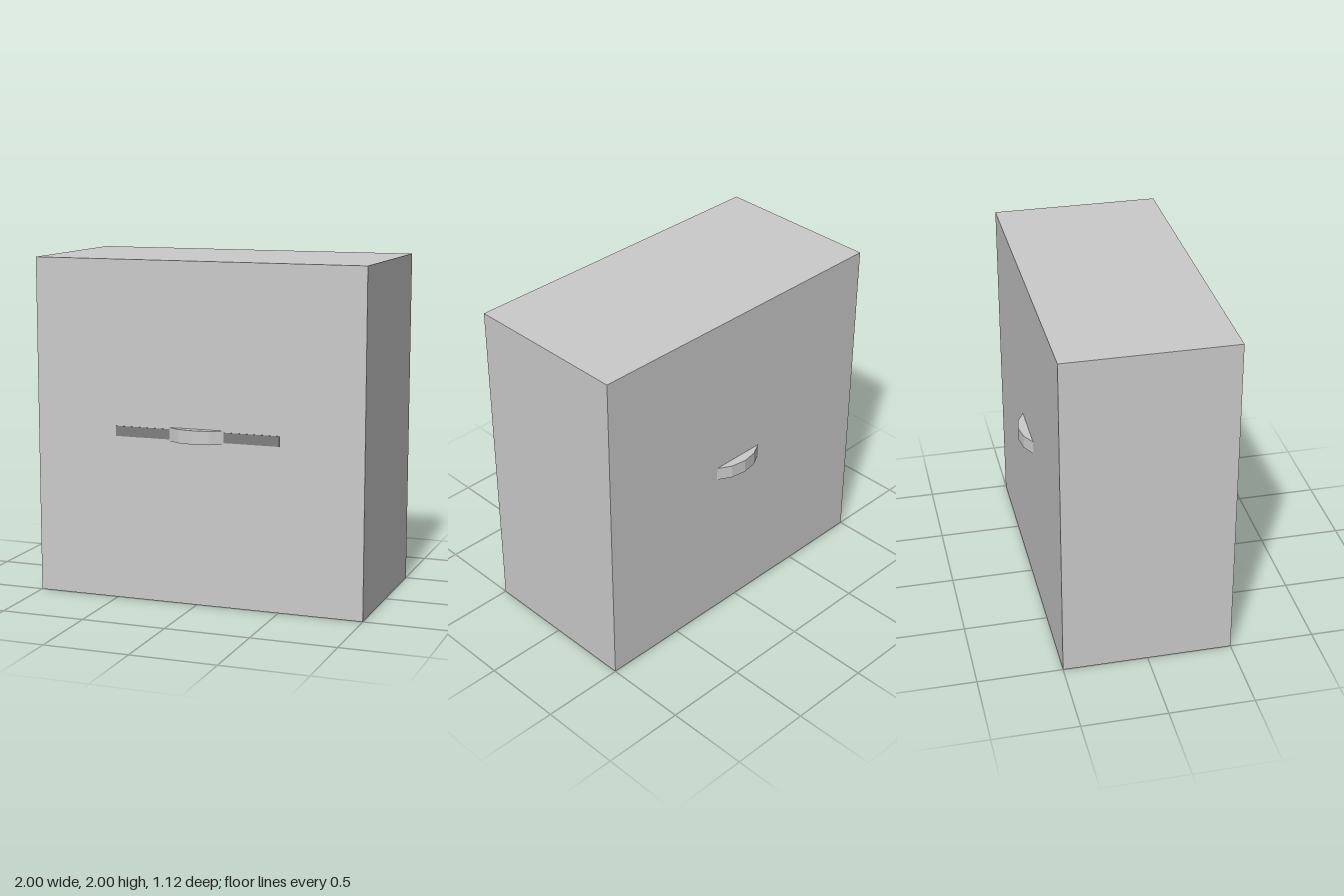
import * as THREE from 'three';

export function createModel() {
  const group = new THREE.Group();
  const grey = new THREE.MeshStandardMaterial({ color: 0xcccccc, flatShading: true });
  const dark = new THREE.MeshStandardMaterial({ color: 0x808080, flatShading: true });

  const add = (name, geometry, material, x, y, z) => {
    const mesh = new THREE.Mesh(geometry, material);
    mesh.name = name;
    mesh.position.set(x, y, z);
    group.add(mesh);
    return mesh;
  };

  // Main block
  add('body', new THREE.BoxGeometry(2, 2, 1), grey, 0, 1, 0);

  // Thin dark strip lying on the front face
  add('frontStrip', new THREE.BoxGeometry(1, 0.06, 0.006), dark, 0, 1, 0.5);

  // Faceted disc segment, used as a tab on the front and the back
  const outline = new THREE.Shape([
    [-0.175, 0], [-0.092, 0.045], [0, 0.06], [0.092, 0.045], [0.175, 0],
  ].map(([x, y]) => new THREE.Vector2(x, y)));
  const tab = new THREE.ExtrudeGeometry(outline, { depth: 0.08, bevelEnabled: false });
  tab.translate(0, 0, -0.04);
  tab.rotateX(Math.PI / 2);

  add('frontTab', tab, grey, 0, 1, 0.498);
  add('backTab', tab, grey, 0, 1, -0.498).rotation.y = Math.PI;

  return group;
}
